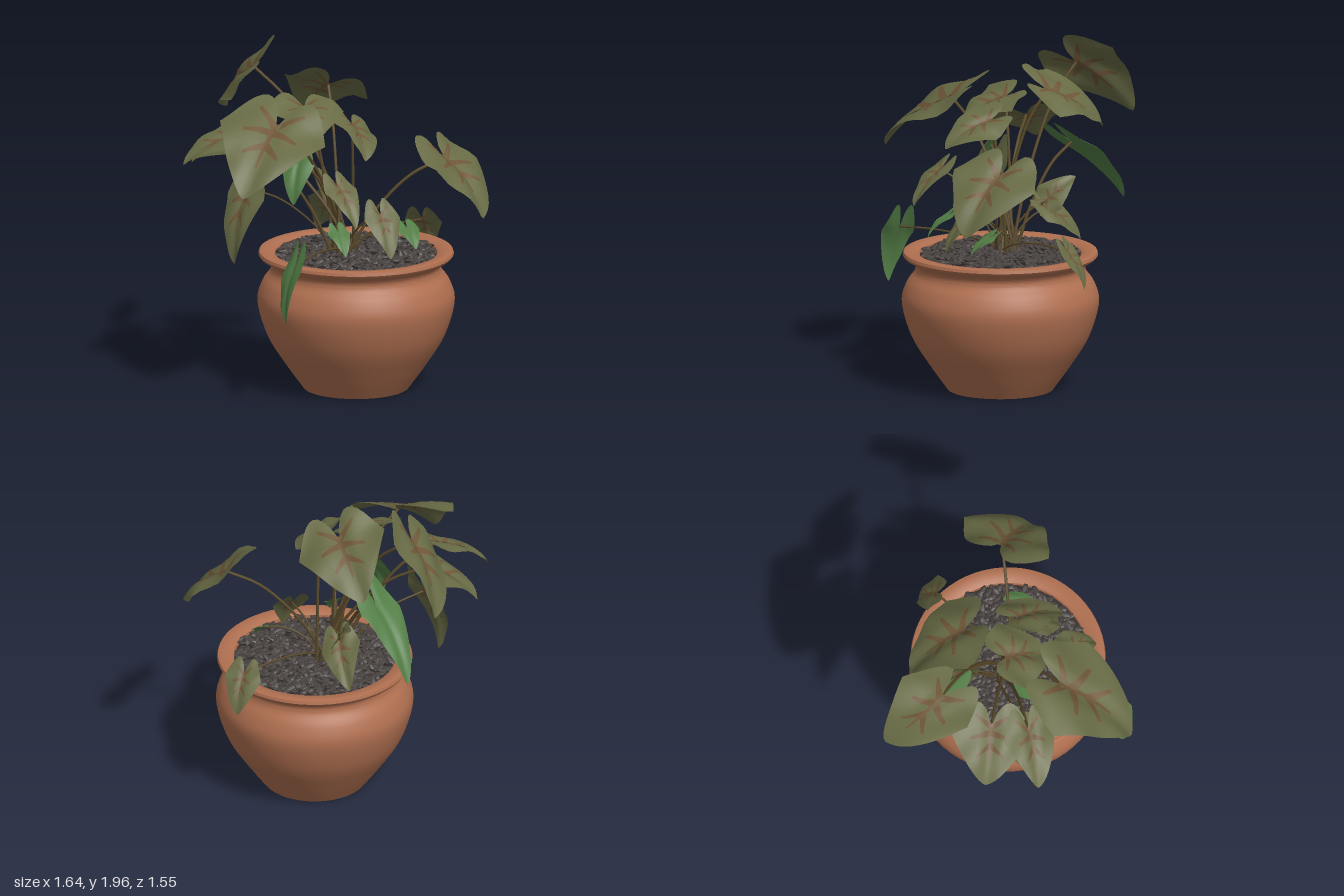
import * as THREE from 'three';
import { mergeGeometries, toCreasedNormals } from 'three/addons/utils/BufferGeometryUtils.js';

const mat = (name, color, side = THREE.FrontSide) => {
  const m = new THREE.MeshStandardMaterial({ color, side });
  m.name = name;
  return m;
};
const V = (a) => new THREE.Vector3(...a);

// small seeded random generator
function seeded(seed) {
  return () => {
    seed = (seed * 16807) % 2147483647;
    return seed / 2147483647;
  };
}

// grid surface from a rule f(a, b), a and b in 0..1
function gridGeometry(f, na, nb) {
  const pos = [], idx = [];
  for (let i = 0; i <= na; i++) for (let j = 0; j <= nb; j++) pos.push(...f(i / na, j / nb).toArray());
  for (let i = 0; i < na; i++) for (let j = 0; j < nb; j++) {
    const p = i * (nb + 1) + j, q = p + nb + 1;
    idx.push(p, q, p + 1, q, q + 1, p + 1);
  }
  const g = new THREE.BufferGeometry();
  g.setAttribute('position', new THREE.Float32BufferAttribute(pos, 3));
  g.setIndex(idx);
  g.computeVertexNormals();
  return g;
}

// returns surface(v, s, lift): v across the leaf (-1..1), s from stem joint (0) to tip (1)
function leafSurface(joint, tip, width, roll, phase) {
  const length = tip.clone().sub(joint);
  const L = length.length(), W = width ?? 0.38 * L;
  const axis = length.clone().normalize();
  const across = new THREE.Vector3(length.z, 0, -length.x).normalize().applyAxisAngle(axis, roll);
  const normal = axis.clone().cross(across);
  return (v, s, lift = 0) => {
    const arch = 0.32 * L * s * (1 - s) * (s < 0 ? 0.35 : 1);
    const dome = 0.1 * W * (0.5 - v * v) - 0.1 * W * Math.exp(-30 * v * v);
    const wave = 0.07 * W * Math.abs(v) * Math.sin(7 * s + 4 * v + phase);
    return joint.clone().addScaledVector(across, v * W).addScaledVector(length, s)
      .addScaledVector(normal, arch + dome + wave + lift);
  };
}

// heart outline: back lobes and pointed front
const backEdge = (v) => 0.1 * v - 0.45 * Math.sin(Math.PI * Math.pow(v, 0.8));
const frontEdge = (v) => 0.1 * v + 1 - Math.pow(v, 1.35);

function bladeGeometry(surface) {
  return gridGeometry((a, b) => {
    const v = a * 2 - 1, w = Math.abs(v);
    return surface(v, THREE.MathUtils.lerp(backEdge(w), frontEdge(w), b));
  }, 20, 12);
}

// midrib and three mirrored side veins, as tapering ribbons on both faces of the blade
const SIDE_VEINS = [[0.02, 0.42, -0.2], [0.1, 0.5, 0.2], [0.3, 0.33, 0.5]];
function veinGeometry(surface) {
  const ribbons = [];
  const addVein = (s0, v1, s1) => {
    const dir = new THREE.Vector2(v1, s1 - s0).normalize();
    for (const lift of [0.004, -0.004]) ribbons.push(gridGeometry((a, b) => {
      const w = (b - 0.5) * 0.11 * (1 - 0.6 * a);
      return surface(v1 * a - dir.y * w, s0 + (s1 - s0) * a + dir.x * w, lift);
    }, 8, 2));
  };
  addVein(0, 0, 0.62);
  for (const [s0, v1, s1] of SIDE_VEINS) for (const m of [1, -1]) addVein(s0, m * v1, s1);
  return mergeGeometries(ribbons);
}

// name, colour, stem joint, tip, then half width and roll where they differ from the usual
const LEAVES = [
  ['topLeaf', 'olive', [-0.2, 1.78, -0.42], [-0.17, 1.47, -0.77], 0.25, -0.75],
  ['backLeaf', 'olive', [0.11, 1.71, -0.09], [0.13, 1.47, -0.43], 0.26, 0.39],
  ['backGreenLeaf', 'green', [-0.02, 1.36, -0.3], [-0.05, 1.0, -0.65], 0.14, -0.2],
  ['backRightLeaf', 'olive', [-0.4, 1.46, -0.2], [-0.63, 1.28, -0.38], 0.24, -0.2],
  ['farRightLeaf', 'olive', [-0.54, 1.5, -0.04], [-0.82, 1.34, -0.14], 0.155, -0.24],
  ['bigRightLeaf', 'olive', [-0.44, 1.6, 0.26], [-0.8, 1.28, 0.5], 0.32, -0.25],
  ['bigLeftLeaf', 'olive', [0.56, 1.34, 0.46], [0.66, 1.03, 0.73], 0.28, -0.2],
  ['middleLeaf', 'olive', [-0.14, 1.64, 0.07], [-0.2, 1.5, 0.3], 0.23, -0.1],
  ['centreLeaf', 'olive', [0.06, 1.55, 0.27], [0.0, 1.4, 0.52], 0.16, -0.5],
  ['frontSmallLeaf', 'olive', [-0.15, 1.25, 0.47], [-0.14, 1.05, 0.65]],
  ['frontLowLeaf', 'olive', [0.15, 1.04, 0.43], [0.13, 0.82, 0.58], 0.11],
  ['leftSproutLeaf', 'green', [0.34, 0.94, 0.4], [0.33, 0.84, 0.52], 0.07],
  ['rightSproutLeaf', 'green', [-0.13, 0.98, 0.43], [-0.15, 0.86, 0.55]],
  ['hangingGreenLeaf', 'green', [-0.49, 0.86, 0.56], [-0.57, 0.53, 0.59], 0.1, 0.4],
  ['rimLeaf', 'olive', [0.64, 0.88, 0.06], [0.72, 0.67, -0.01], 0.11],
  ['rightDroopingLeaf', 'olive', [-0.47, 1.18, -0.01], [-0.58, 0.76, 0.02], 0.14],
  ['backLowLeaf', 'olive', [0.1, 1.02, -0.08], [0.14, 0.82, -0.28], 0.12, 0.5],
  ['backUpperSmallLeaf', 'olive', [0.1, 1.06, -0.08], [0.12, 1.19, -0.25], 0.1, 0.8],
  ['innerGreenLeaf', 'green', [-0.21, 1.34, 0.12], [-0.28, 1.1, 0.18]],
];

// stem arching from the crown in the soil to the leaf joint
function stemGeometry(end, i) {
  const t = i * 2.4;
  const start = new THREE.Vector3(0.06 + 0.06 * Math.cos(t), 0.76, 0.16 + 0.06 * Math.sin(t));
  const at = (k, y) => new THREE.Vector3(
    THREE.MathUtils.lerp(start.x, end.x, k), THREE.MathUtils.lerp(start.y, end.y, y),
    THREE.MathUtils.lerp(start.z, end.z, k));
  const low = end.y < 1;
  const path = new THREE.CatmullRomCurve3(
    [start, at(0.25, low ? 0.7 : 0.42), at(0.65, low ? 1.05 : 0.83), end]);
  return new THREE.TubeGeometry(path, 16, end.y > 1.3 ? 0.009 : 0.006, 6);
}

// turned pot: flat base, round belly, narrow neck and flared rim
function potGeometry() {
  const points = (list) => list.map((p) => new THREE.Vector2(...p));
  const outer = new THREE.SplineCurve(points([
    [0.3, 0], [0.4, 0.14], [0.505, 0.31], [0.56, 0.5], [0.535, 0.61],
    [0.49, 0.675], [0.483, 0.715], [0.505, 0.745], [0.545, 0.765],
  ])).getPoints(36);
  const rim = points([[0.555, 0.78], [0.55, 0.797], [0.53, 0.802], [0.48, 0.798], [0.46, 0.785], [0.45, 0.72]]);
  return toCreasedNormals(new THREE.LatheGeometry([new THREE.Vector2(0, 0), ...outer, ...rim], 64), 0.7);
}

// overlapping elongated chips covering the soil
function pebbleGeometry() {
  const rnd = seeded(41), chips = [], o = new THREE.Object3D();
  const count = 620;
  for (let i = 0; i < count; i++) {
    const r = 0.445 * Math.sqrt((i + 0.5) / count), a = i * 2.39996;
    o.position.set(r * Math.cos(a), 0.765 + 0.028 * rnd(), r * Math.sin(a));
    o.rotation.set(rnd() - 0.5, rnd() * 6.28, rnd() - 0.5);
    o.scale.set(0.029 + 0.013 * rnd(), 0.012, 0.016 + 0.006 * rnd());
    o.updateMatrix();
    chips.push(new THREE.IcosahedronGeometry(1, 0).applyMatrix4(o.matrix));
  }
  return mergeGeometries(chips);
}

export function createModel() {
  const root = new THREE.Group();
  root.name = 'pottedPlant';
  const mats = {
    terracotta: mat('terracotta', 0xaf6f50),
    soil: mat('soil', 0x2f2b29),
    pebble: mat('pebble', 0x47413f),
    stem: mat('stem', 0x5a4a2a),
    olive: mat('oliveLeaf', 0x686b45, THREE.DoubleSide),
    green: mat('greenLeaf', 0x527c45, THREE.DoubleSide),
    vein: mat('vein', 0x6d5537, THREE.DoubleSide),
  };
  const add = (parent, name, geometry, material) => {
    const m = new THREE.Mesh(geometry, material);
    m.name = name;
    parent.add(m);
  };

  // pot with its filling
  const pot = new THREE.Group();
  pot.name = 'pot';
  pot.position.set(0.11, 0, 0.22);
  add(pot, 'potBody', potGeometry(), mats.terracotta);
  add(pot, 'soil', new THREE.CircleGeometry(0.46, 48).rotateX(-Math.PI / 2).translate(0, 0.765, 0), mats.soil);
  add(pot, 'pebbles', pebbleGeometry(), mats.pebble);
  root.add(pot);

  // leaves, each with its stem
  LEAVES.forEach(([name, color, joint, tip, width, roll = 0], i) => {
    const leaf = new THREE.Group();
    leaf.name = name;
    const surface = leafSurface(V(joint), V(tip), width, roll, i * 1.7);
    add(leaf, 'blade', bladeGeometry(surface), mats[color]);
    if (color === 'olive') add(leaf, 'veins', veinGeometry(surface), mats.vein);
    add(leaf, 'stem', stemGeometry(surface(0, 0), i), mats.stem);
    root.add(leaf);
  });
  return root;
}
